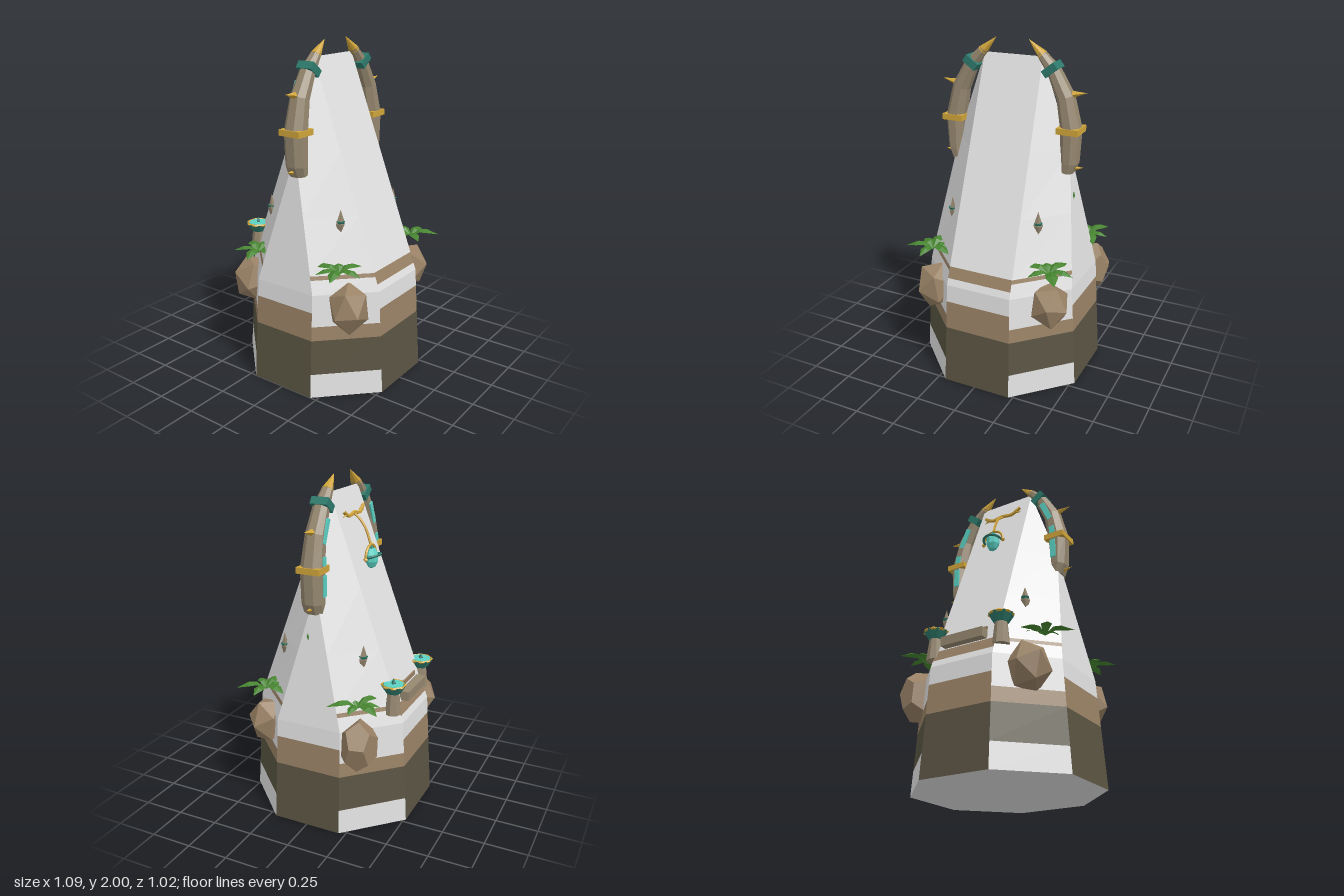
import * as THREE from 'three';

const mat = (name, color, side = THREE.FrontSide) => {
  const m = new THREE.MeshStandardMaterial({ color, side });
  m.name = name;
  return m;
};
const lerp = THREE.MathUtils.lerp;
const CX = 0.0125; // the tower axis sits slightly off centre

export function createModel() {
  const plaster = mat('plaster', 0xe2e2e2);
  const brown = mat('brown', 0x9a8266);
  const olive = mat('olive', 0x5a5442);
  const taupe = mat('taupe', 0x968870);
  const gold = mat('gold', 0xd0a53a);
  const teal = mat('teal', 0x5cd2c4);
  const darkTeal = mat('darkTeal', 0x2e7a6c);
  const green = mat('green', 0x46842f, THREE.DoubleSide);

  const root = new THREE.Group();
  root.name = 'tower';

  const flat = (g) => {
    const f = g.index ? g.toNonIndexed() : g;
    f.computeVertexNormals();
    return f;
  };
  const add = (parent, name, geo, material, x = 0, y = 0, z = 0) => {
    const m = new THREE.Mesh(flat(geo), material);
    m.name = name;
    m.position.set(x, y, z);
    parent.add(m);
    return m;
  };
  const group = (name, x = 0, y = 0, z = 0) => {
    const g = new THREE.Group();
    g.name = name;
    g.position.set(x, y, z);
    root.add(g);
    return g;
  };
  const fromTriangles = (pts) => {
    const g = new THREE.BufferGeometry();
    g.setAttribute('position', new THREE.Float32BufferAttribute(pts.flat(), 3));
    return g;
  };
  const quad = (out, a, b, c, d) => out.push(a, b, c, a, c, d);

  // Tower: octagonal rings that narrow to a ridge
  const K = 0.63, SIDE = 1.4, TOP = 1.91;
  const ring = (y) => {
    const w = lerp(0.2125, 0.18, y / TOP);
    let zf, xs, zs;
    if (y <= K) {
      zf = xs = lerp(0.512, 0.472, y / K);
      zs = lerp(0.21, 0.2, y / K);
    } else {
      zf = lerp(0.472, 0, (y - K) / (TOP - K));
      const t = (y - K) / (SIDE - K);
      xs = t < 1 ? lerp(0.472, 0.357, t) : lerp(0.357, 0.18, (y - SIDE) / (TOP - SIDE));
      zs = Math.max(0, lerp(0.2, 0, t));
    }
    return [[-w, zf], [w, zf], [xs, zs], [xs, -zs], [w, -zf], [-w, -zf], [-xs, -zs], [-xs, zs]]
      .map(([x, z]) => [x, y, z]);
  };
  // Bands of each wall panel as [top height, colour]
  const front = [[0.355, olive], [0.525, brown], [K, plaster], [0.67, plaster], [0.735, brown], [TOP, plaster]];
  const diagonal = [[0.145, plaster], [0.355, olive], [0.44, brown], [K, plaster], [0.712, plaster],
    [0.735, brown], [1.05, plaster], [SIDE, plaster], [TOP, plaster]];
  const side = [[0.355, olive], [0.525, brown], [K, plaster], [SIDE, plaster]];
  const walls = new Map([[plaster, []], [brown, []], [olive, []]]);
  for (let i = 0; i < 8; i++) {
    let y0 = 0;
    for (const [y1, m] of [front, diagonal, side, diagonal][i % 4]) {
      const a = ring(y0), b = ring(y1), j = (i + 1) % 8;
      quad(walls.get(m), a[i], a[j], b[j], b[i]);
      y0 = y1;
    }
  }
  const base = ring(0);
  for (let i = 0; i < 8; i++) walls.get(plaster).push([0, 0, 0], base[(i + 1) % 8], base[i]);
  const tower = group('towerWalls', CX);
  for (const [m, pts] of walls) add(tower, m.name + 'Wall', fromTriangles(pts), m);

  // Horn: octagonal sections [x, y, radius across, radius in z] swept along a path
  const sweep = (sections, s) => {
    const rings = sections.map(([x, y, rx, rz], k) => {
      const p = sections[Math.max(0, k - 1)], q = sections[Math.min(sections.length - 1, k + 1)];
      const t = new THREE.Vector2(s * (q[0] - p[0]), q[1] - p[1]).normalize();
      return Array.from({ length: 8 }, (_, i) => {
        const a = (i + 0.5) * Math.PI / 4, c = Math.cos(a) * 1.08 * rx;
        return [s * x + t.y * c, y - t.x * c, Math.sin(a) * 1.08 * rz];
      });
    });
    const out = [];
    for (let k = 0; k < rings.length - 1; k++) {
      for (let i = 0; i < 8; i++) {
        const j = (i + 1) % 8;
        quad(out, rings[k][j], rings[k][i], rings[k + 1][i], rings[k + 1][j]);
      }
    }
    for (let i = 1; i < 7; i++) out.push(rings[0][0], rings[0][i], rings[0][i + 1]);
    return fromTriangles(out);
  };
  const hornPath = [[0.35, 1.275, 0.036, 0.058], [0.362, 1.33, 0.049, 0.064], [0.365, 1.52, 0.057, 0.066],
    [0.327, 1.7, 0.049, 0.054], [0.255, 1.84, 0.038, 0.045], [0.175, 1.93, 0.024, 0.03]];
  for (const s of [-1, 1]) {
    const horn = group(s > 0 ? 'leftHorn' : 'rightHorn', CX, 0, 0.013);
    add(horn, 'hornBody', sweep(hornPath, s), taupe);
    add(horn, 'hornTip', sweep([[0.185, 1.92, 0.027, 0.033], [0.1, 2, 0.0005, 0.0005]], s), gold);
    add(horn, 'hornGoldBand', new THREE.BoxGeometry(0.128, 0.035, 0.14), gold, s * 0.363, 1.52);
    add(horn, 'hornTealBand', new THREE.BoxGeometry(0.09, 0.045, 0.104), darkTeal, s * 0.245, 1.85)
      .rotation.z = s * 0.66;
    for (const [x, y, r, l] of [[0.41, 1.728, 0.02, 0.085], [0.41, 1.3, 0.018, 0.075]]) {
      add(horn, 'hornSpike', new THREE.ConeGeometry(r, l, 4), gold, s * x, y).rotation.z = -s * 1.4;
    }
    // Glowing strips on the back of the horn
    for (const [x, y, z, l, a] of [[0.355, 1.43, -0.068, 0.12, 0], [0.35, 1.565, -0.064, 0.05, 0.1],
      [0.307, 1.72, -0.054, 0.14, 0.42]]) {
      add(horn, 'hornRune', new THREE.BoxGeometry(0.034, l, 0.009), teal, s * x, y, z).rotation.z = s * a;
    }
  }

  // Boulders leaning on the diagonal walls
  for (const [x, y, z, sx, sy, sz, turn, boxy] of [
    [-0.33, 0.55, 0.36, 0.13, 0.155, 0.12, 0.5, 0], [0.395, 0.565, 0.32, 0.12, 0.145, 0.12, 1.3, 0],
    [0.43, 0.55, -0.29, 0.115, 0.16, 0.115, 0.3, 1], [-0.34, 0.56, -0.35, 0.125, 0.15, 0.125, 2.1, 0]]) {
    const geo = boxy ? new THREE.DodecahedronGeometry(1) : new THREE.IcosahedronGeometry(1);
    geo.rotateY(turn).rotateZ(turn * 0.4).scale(sx, sy, sz);
    add(root, 'boulder', geo, brown, x, y, z);
  }

  // Ferns: folded leaves in a rosette
  const leafSections = [[0, 0, 0.008], [0.055, 0.045, 0.03], [0.105, 0.045, 0.036], [0.175, 0.012, 0.001]];
  const leaf = [];
  for (let k = 0; k < 3; k++) {
    const [r0, h0, w0] = leafSections[k], [r1, h1, w1] = leafSections[k + 1];
    for (const e of [-1, 1]) {
      const inner = [[r0, h0, 0], [r1, h1, 0]];
      const outer = [[r1, h1 - w1 * 0.4, e * w1], [r0, h0 - w0 * 0.4, e * w0]];
      const c = [...inner, ...outer];
      if (e > 0) c.reverse();
      quad(leaf, ...c);
    }
  }
  [[-0.39, -0.26, 0.2], [0.4, -0.27, 0.9], [-0.37, 0.32, 0.5], [0.39, 0.33, 0.0]].forEach(([x, z, turn], n) => {
    const fern = group('fern', x, 0.765, z);
    for (let i = 0; i < 6; i++) {
      const m = add(fern, 'leaf', fromTriangles(leaf), green);
      m.rotation.y = turn + i * Math.PI / 3 + 0.2 * Math.sin(i * 5 + n);
      m.scale.setScalar(0.86 + 0.14 * Math.sin(i * 3 + n * 2));
    }
  });

  // Small hanging charms on the diagonal walls
  for (const sx of [-1, 1]) {
    for (const sz of [-1, 1]) {
      const charm = group('charm', CX + sx * 0.275, 1.01, sz * 0.252);
      charm.rotation.y = sx * sz * 0.6;
      add(charm, 'charmStone', new THREE.OctahedronGeometry(1).scale(0.028, 0.085, 0.022), taupe);
      add(charm, 'charmCollar', new THREE.CylinderGeometry(0.026, 0.018, 0.015, 6), darkTeal, 0, 0.012);
      add(charm, 'charmDrop', new THREE.OctahedronGeometry(1).scale(0.012, 0.025, 0.012), teal, 0, -0.055);
    }
  }

  // Fire bowls on pedestals at the back corners
  for (const s of [-1, 1]) {
    const bowl = group('bowlPedestal', CX + s * 0.22, 0, -0.415);
    add(bowl, 'pedestal', new THREE.CylinderGeometry(0.036, 0.05, 0.13, 8), taupe, 0, 0.755);
    add(bowl, 'bowl', new THREE.CylinderGeometry(0.073, 0.042, 0.05, 8), darkTeal, 0, 0.843);
    add(bowl, 'bowlRim', new THREE.TorusGeometry(0.067, 0.008, 4, 8).rotateX(Math.PI / 2).rotateY(Math.PI / 8),
      gold, 0, 0.866);
    add(bowl, 'bowlPool', new THREE.CylinderGeometry(0.06, 0.06, 0.006, 8), teal, 0, 0.869);
    add(bowl, 'bowlCrystal', new THREE.OctahedronGeometry(1).scale(0.014, 0.03, 0.014), darkTeal, 0, 0.876);
  }

  // Bench and rail between the bowls
  add(root, 'bench', new THREE.BoxGeometry(0.275, 0.055, 0.055), taupe, CX, 0.768, -0.45);
  add(root, 'rail', new THREE.BoxGeometry(0.255, 0.025, 0.01), brown, CX, 0.81, -0.41);

  // Lantern hanging from a curved arm on the back
  const tube = (pts, r) => new THREE.TubeGeometry(
    new THREE.CatmullRomCurve3(pts.map((p) => new THREE.Vector3(...p))), 12, r, 5);
  const lantern = group('lantern', CX);
  add(lantern, 'bracket', tube([[-0.13, 1.8, -0.058], [-0.07, 1.765, -0.064], [0, 1.775, -0.062],
    [0.07, 1.765, -0.064], [0.13, 1.8, -0.058]], 0.011), gold);
  for (const s of [-1, 1]) {
    add(lantern, 'bracketPoint', new THREE.ConeGeometry(0.013, 0.05, 4), gold, s * 0.115, 1.772, -0.06)
      .rotation.z = -s * 1.9;
  }
  add(lantern, 'arm', tube([[0, 1.775, -0.055], [0, 1.745, -0.095], [0, 1.69, -0.135], [0, 1.6, -0.168]], 0.008), gold);
  add(lantern, 'lanternArch', new THREE.TorusGeometry(0.07, 0.008, 5, 12, Math.PI), gold, 0, 1.53, -0.168);
  for (const s of [-1, 1]) {
    add(lantern, 'archEnd', new THREE.OctahedronGeometry(0.016), gold, s * 0.07, 1.525, -0.168);
  }
  add(lantern, 'lanternRing', new THREE.TorusGeometry(0.06, 0.008, 5, 12, Math.PI).rotateX(-Math.PI / 2 + 0.3),
    darkTeal, 0, 1.53, -0.168);
  add(lantern, 'lanternGem', new THREE.SphereGeometry(1, 8, 5).scale(0.043, 0.064, 0.043), teal, 0, 1.525, -0.172);
  add(lantern, 'lanternCap', new THREE.ConeGeometry(0.026, 0.03, 6), darkTeal, 0, 1.588, -0.17);

  // Sprig on the side wall
  add(root, 'sprig', new THREE.OctahedronGeometry(1).scale(0.008, 0.022, 0.008), green, 0.412, 1.14, 0.03);

  return root;
}
